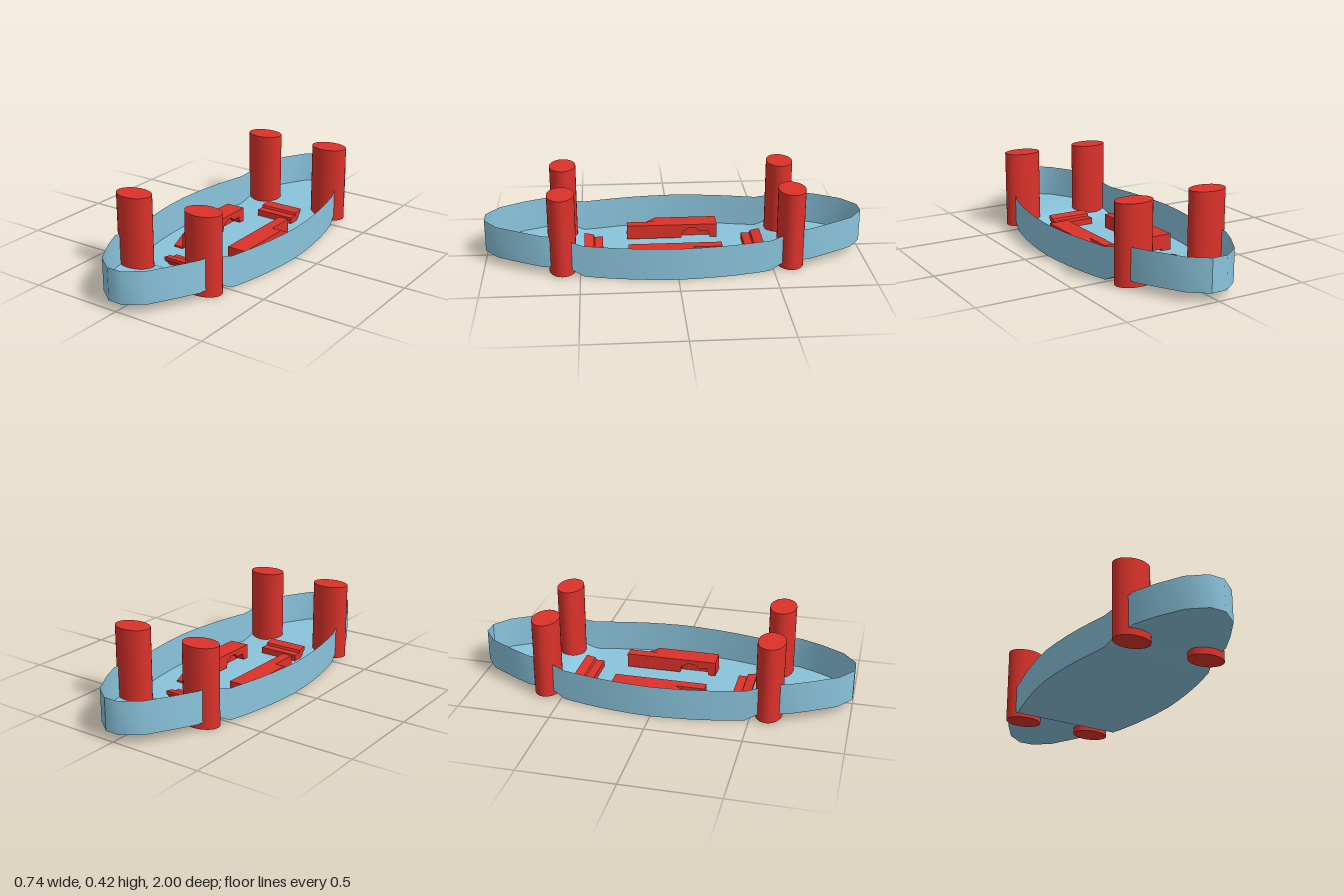
import * as THREE from 'three';

const blue = new THREE.MeshStandardMaterial({ color: 0x8ac4dc, side: THREE.DoubleSide });
const red = new THREE.MeshStandardMaterial({ color: 0xdc322a });

// Half hull stations from the middle to one end: [z, half width, floor y, rim y]
const HALF = [
  [0, 0.37, 0.003, 0.175], [0.1, 0.365, 0.003, 0.175], [0.2, 0.355, 0.003, 0.175],
  [0.3, 0.34, 0.003, 0.175], [0.4, 0.32, 0.003, 0.175], [0.48, 0.302, 0.005, 0.175],
  [0.54, 0.285, 0.035, 0.19], [0.6, 0.272, 0.045, 0.212], [0.69, 0.262, 0.047, 0.219],
  [0.8, 0.21, 0.05, 0.222], [0.93, 0.135, 0.05, 0.222], [1, 0.042, 0.05, 0.222],
];
const mirrored = HALF.slice(1).reverse().map(([z, ...rest]) => [-z, ...rest]);
const STATIONS = [...mirrored, ...HALF];

// Surface between two equally long rows of points
function strip(rowA, rowB, name) {
  const positions = [];
  const index = [];
  rowA.forEach((p, i) => {
    positions.push(...p, ...rowB[i]);
    if (i < rowA.length - 1) {
      const a = 2 * i;
      index.push(a, a + 2, a + 1, a + 1, a + 2, a + 3);
    }
  });
  const geometry = new THREE.BufferGeometry();
  geometry.setAttribute('position', new THREE.Float32BufferAttribute(positions, 3));
  geometry.setIndex(index);
  geometry.computeVertexNormals();
  const mesh = new THREE.Mesh(geometry, blue);
  mesh.name = name;
  return mesh;
}

// Prism with a (z, y) profile, reaching from x0 to x1
function prism(profile, x0, x1, name) {
  const shape = new THREE.Shape(profile.map(([z, y]) => new THREE.Vector2(z, y)));
  const geometry = new THREE.ExtrudeGeometry(shape, { depth: x1 - x0, bevelEnabled: false });
  geometry.rotateY(-Math.PI / 2).translate(x1, 0, 0);
  const mesh = new THREE.Mesh(geometry, red);
  mesh.name = name;
  return mesh;
}

function makeHull() {
  const hull = new THREE.Group();
  hull.name = 'hull';
  const side = (s, level) => STATIONS.map((p) => [s * p[1], p[level], p[0]]);

  // Bottom, open at the top
  hull.add(strip(side(-1, 2), side(1, 2), 'hullFloor'));

  // One wall running all round
  const loop = (level) => {
    const around = [...side(1, level), ...side(-1, level).reverse()];
    return [...around, around[0]];
  };
  hull.add(strip(loop(3), loop(2), 'hullWall'));
  return hull;
}

// Long bench with an arch in its inner half and a ramp on its outer half
function makeLongBench() {
  const bench = new THREE.Group();
  bench.name = 'longBench';
  const inner = [
    [-0.247, 0.015], [0.05, 0.015], [0.06, 0.05], [0.09, 0.07], [0.13, 0.07],
    [0.15, 0.05], [0.2, 0.05], [0.21, 0.015], [0.247, 0.015], [0.247, 0.092], [-0.247, 0.092],
  ];
  const outer = [[-0.247, 0.005], [0.247, 0.005], [0.247, 0.092], [-0.09, 0.092], [-0.247, 0.014]];
  bench.add(prism(inner, 0.12, 0.175, 'benchArch'));
  bench.add(prism(outer, 0.175, 0.23, 'benchRamp'));
  return bench;
}

// Short stepped bench across the hull
function makeCrossBench() {
  const profile = [
    [0.38, 0.004], [0.44, 0.004], [0.48, 0.045], [0.48, 0.062],
    [0.43, 0.052], [0.425, 0.038], [0.38, 0.038],
  ];
  return prism(profile, -0.112, 0.112, 'crossBench');
}

export function createModel() {
  const model = new THREE.Group();
  model.add(makeHull());

  // The benches repeat under a half turn
  for (const turn of [0, Math.PI]) {
    const half = new THREE.Group();
    half.name = turn ? 'backBenches' : 'frontBenches';
    half.rotation.y = turn;
    half.position.x = -0.008;
    half.add(makeLongBench(), makeCrossBench());
    model.add(half);
  }

  // Four oval posts
  const postGeometry = new THREE.CylinderGeometry(0.1, 0.1, 0.415, 32).scale(1, 1, 0.71);
  for (const x of [-0.213, 0.213]) {
    for (const z of [-0.595, 0.59]) {
      const post = new THREE.Mesh(postGeometry, red);
      post.name = `${z > 0 ? 'front' : 'back'}${x > 0 ? 'Left' : 'Right'}Post`;
      post.position.set(x, 0.217, z);
      model.add(post);
    }
  }

  // Stand on the ground
  model.position.y = -0.003;
  return model;
}
